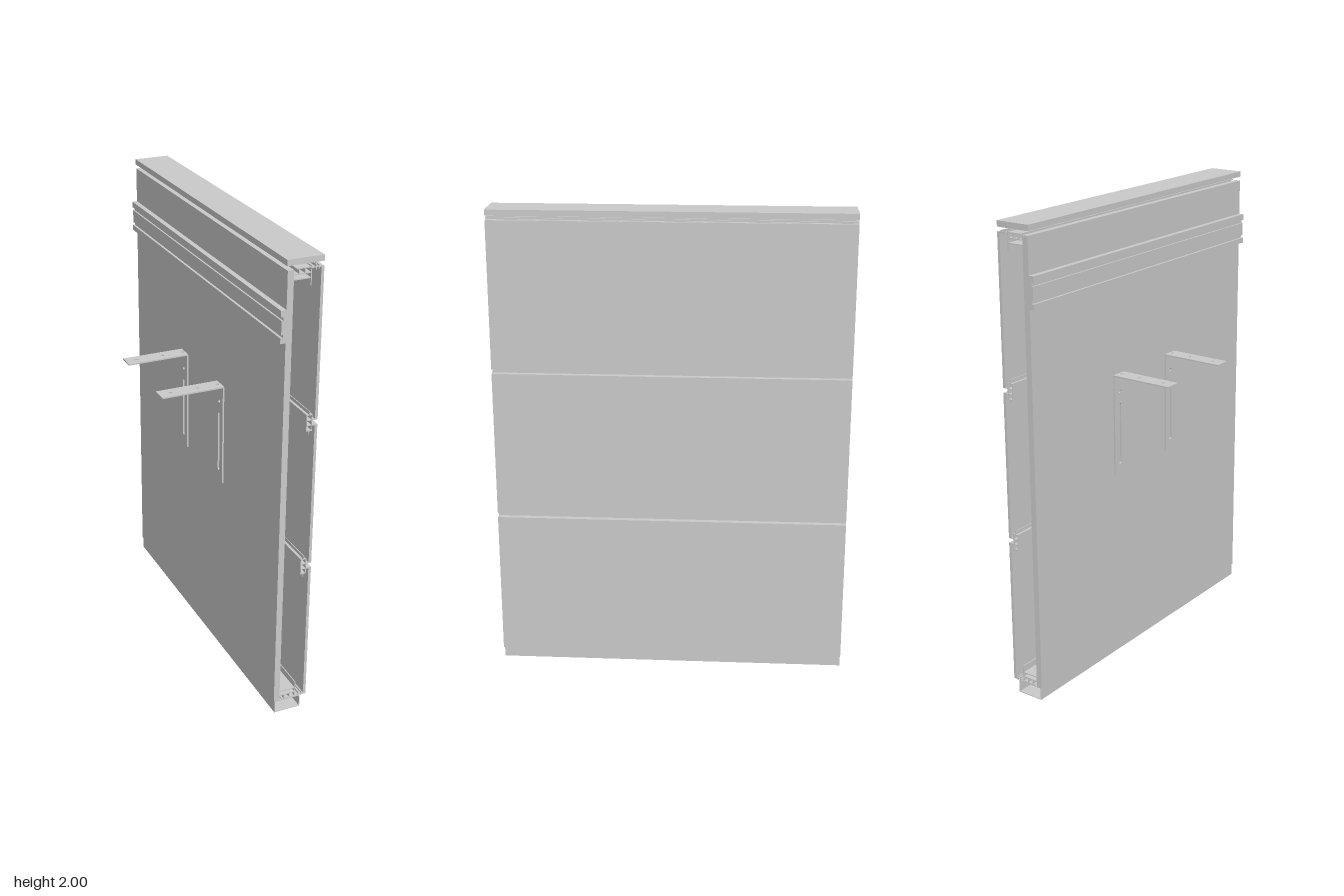
import * as THREE from 'three';

const HALF = 0.74;
const mat = new THREE.MeshStandardMaterial({ color: 0xcccccc, side: THREE.DoubleSide });

function add(group, name, geometry) {
  const mesh = new THREE.Mesh(geometry, mat);
  mesh.name = name;
  group.add(mesh);
  return mesh;
}

// Bar given by its cross-section limits, running along z
function bar(group, name, x0, x1, y0, y1, z0 = -HALF, z1 = HALF) {
  const mesh = add(group, name, new THREE.BoxGeometry(x1 - x0, y1 - y0, z1 - z0));
  mesh.position.set((x0 + x1) / 2, (y0 + y1) / 2, (z0 + z1) / 2);
  return mesh;
}

// Profile drawn in x, y and extruded along z
function extrusion(group, name, points, hole) {
  const shape = new THREE.Shape(points.map(([x, y]) => new THREE.Vector2(x, y)));
  if (hole) shape.holes.push(new THREE.Path(hole.map(([x, y]) => new THREE.Vector2(x, y))));
  const g = new THREE.ExtrudeGeometry(shape, { depth: 2 * HALF, bevelEnabled: false });
  g.translate(0, 0, -HALF);
  return add(group, name, g);
}

const rect = (x0, x1, y0, y1) => [[x0, y0], [x1, y0], [x1, y1], [x0, y1]];

// Flat strip, width centred on x, length along y, with rounded slots [y0, y1, radius]
function strip(width, length, thickness, slots) {
  const w = width / 2;
  const shape = new THREE.Shape(rect(-w, w, 0, length).map(([x, y]) => new THREE.Vector2(x, y)));
  for (const [y0, y1, r] of slots) {
    const hole = new THREE.Path();
    hole.absarc(0, y1, r, 0, Math.PI, false);
    hole.absarc(0, y0, r, Math.PI, 2 * Math.PI, false);
    hole.closePath();
    shape.holes.push(hole);
  }
  return new THREE.ExtrudeGeometry(shape, { depth: thickness, bevelEnabled: false, curveSegments: 8 });
}

// Angle bracket: drilled arm reaching to -x and slotted leg on the wall
function bracket(z) {
  const group = new THREE.Group();
  group.name = 'shelfBracket';
  const arm = strip(0.07, 0.275, 0.006, [0.015, 0.107, 0.225].map((y) => [y, y, 0.007]));
  arm.rotateX(-Math.PI / 2).rotateY(Math.PI / 2);
  add(group, 'bracketArm', arm).position.set(0.06, 1.28, 0);
  const leg = strip(0.07, 0.445, 0.007, [[0.055, 0.31, 0.008], [0.37, 0.37, 0.007]]);
  leg.rotateY(Math.PI / 2);
  add(group, 'bracketLeg', leg).position.set(0.054, 0.838, 0);
  group.position.z = z;
  return group;
}

// Open ladder-shaped profile holding two neighbouring panels
function seamProfile(y) {
  const group = new THREE.Group();
  group.name = 'seamProfile';
  bar(group, 'innerWeb', 0.163, 0.166, -0.035, 0.035);
  bar(group, 'outerWeb', 0.185, 0.188, -0.035, 0.035);
  for (const r of [-0.033, -0.011, 0.011, 0.033]) bar(group, 'rib', 0.163, 0.188, r - 0.0015, r + 0.0015);
  for (const s of [-1, 1]) {
    bar(group, 'centreFin', 0.174, 0.177, s > 0 ? 0.033 : -0.049, s > 0 ? 0.049 : -0.033);
    bar(group, 'panelTongue', 0.188, 0.2, s * 0.012 - 0.002, s * 0.012 + 0.002);
  }
  group.position.y = y;
  return group;
}

// Spacer profile between back board and front panels; dir +1 rises from the foot, -1 hangs from the cap
function edgeProfile(y, dir) {
  const group = new THREE.Group();
  group.name = dir > 0 ? 'bottomProfile' : 'topProfile';
  const b = (name, x0, x1, a, c) =>
    bar(group, name, x0, x1, Math.min(a * dir, c * dir), Math.max(a * dir, c * dir));
  b('upright', 0.157, 0.161, -0.005, 0.072);
  b('innerShelf', 0.087, 0.161, 0.02, 0.024);
  b('outerShelf', 0.087, 0.161, 0.04, 0.044);
  b('flange', 0.098, 0.161, -0.001, 0.003);
  for (const x of [0.107, 0.132]) b('rib', x, x + 0.004, 0, 0.02);
  b('panelTongue', 0.161, 0.2, 0.002, 0.006);
  b('panelHook', 0.176, 0.18, -0.008, 0.014);
  b('panelHook', 0.189, 0.193, -0.004, 0.012);
  group.position.y = y;
  return group;
}

export function createModel() {
  const model = new THREE.Group();
  model.name = 'wallPartition';

  // Back board, cap and hollow foot
  bar(model, 'backBoard', 0.062, 0.088, 0.056, 1.958);
  bar(model, 'topCap', 0.059, 0.211, 1.976, 2);
  extrusion(model, 'footTube', rect(0.066, 0.184, 0, 0.056), rect(0.069, 0.181, 0.003, 0.053));

  // Three facing panels with small hooked edges at the seams
  [[0.057, 0.68], [0.7, 1.32], [1.34, 1.958]].forEach(([y0, y1]) => {
    bar(model, 'facingPanel', 0.199, 0.211, y0, y1);
    bar(model, 'panelLip', 0.193, 0.199, y0, y0 + 0.004);
    bar(model, 'panelLip', 0.193, 0.199, y1 - 0.004, y1);
  });
  for (const y of [0.69, 1.33]) model.add(seamProfile(y));
  model.add(edgeProfile(0.058, 1), edgeProfile(1.961, -1));

  // Grooved hanging rail on the back board
  extrusion(model, 'hangingRail', [
    [0.062, 1.677], [0.04, 1.677], [0.04, 1.7], [0.05, 1.7], [0.05, 1.712], [0.043, 1.712],
    [0.043, 1.768], [0.05, 1.768], [0.05, 1.782], [0.04, 1.782], [0.04, 1.808], [0.062, 1.808],
  ]);

  // Pair of shelf brackets
  for (const z of [-0.19, 0.182]) model.add(bracket(z));
  return model;
}
